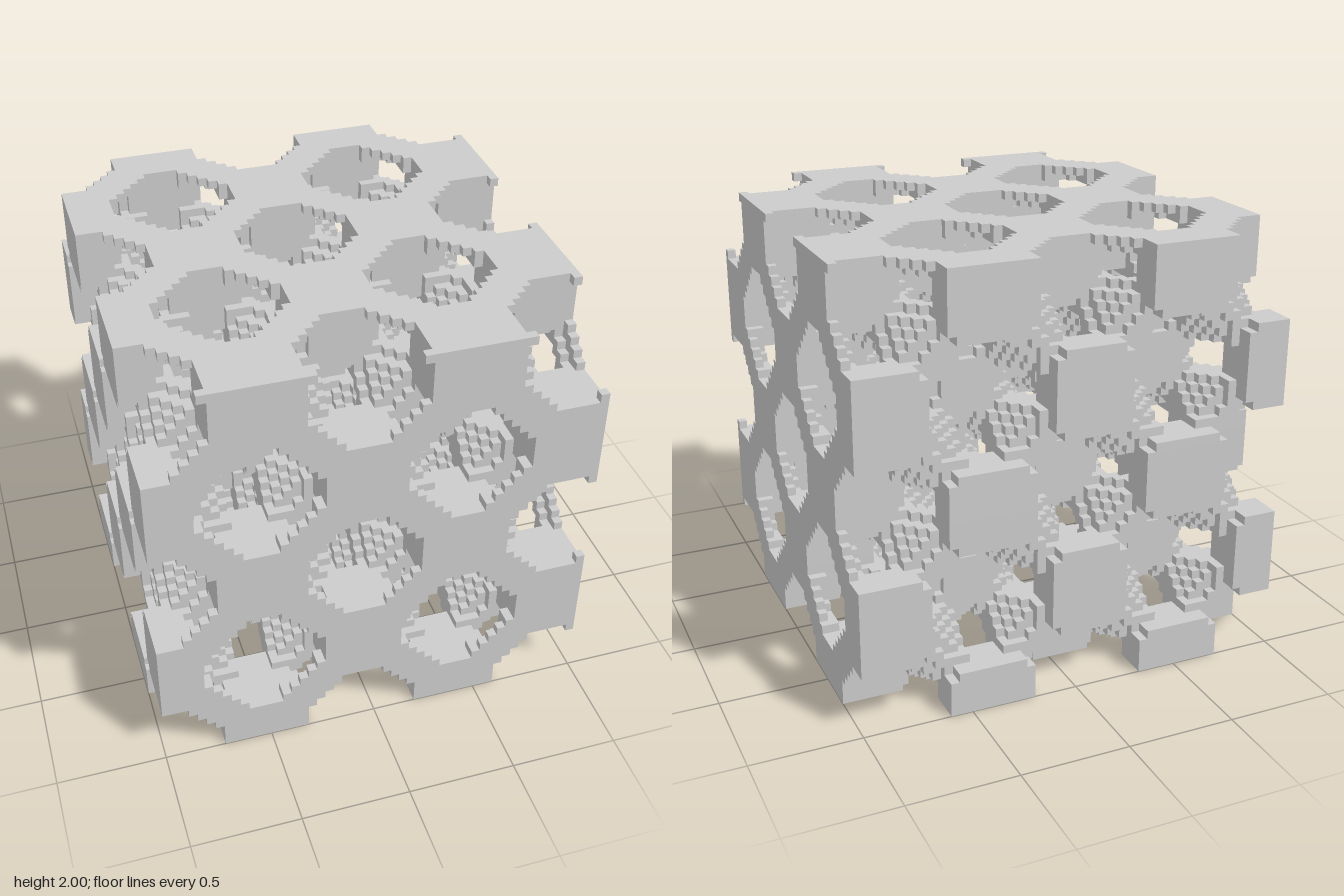
import * as THREE from 'three';

const N = 50;            // voxels per side
const SIZE = 2 / N;      // voxel edge
const PERIOD = 23;       // voxels per lattice cell

// F-RD triply periodic surface, solid where the field is negative
const c1 = [], c2 = [];
for (let i = 0; i < N; i++) {
  const a = (i * 2 * Math.PI) / PERIOD;
  c1.push(Math.cos(a));
  c2.push(Math.cos(2 * a));
}
function solid([x, y, z]) {
  if (Math.min(x, y, z) < 0 || Math.max(x, y, z) >= N) return false;
  return 4 * c1[x] * c1[y] * c1[z]
    - (c2[x] * c2[y] + c2[y] * c2[z] + c2[z] * c2[x]) < 0;
}

// Exposed voxel faces looking along one axis direction, merged into strips
function addFaces(axis, dir, positions, normals) {
  const u = (axis + 1) % 3, v = (axis + 2) % 3;
  const normal = [0, 0, 0];
  normal[axis] = dir;
  const order = dir > 0 ? [0, 1, 2, 0, 2, 3] : [0, 2, 1, 0, 3, 2];

  const exposed = (s, i, j) => {
    const p = [0, 0, 0];
    p[axis] = s; p[u] = i; p[v] = j;
    if (!solid(p)) return false;
    p[axis] += dir;
    return !solid(p);
  };
  const strip = (s, i0, i1, j) => {
    const level = dir > 0 ? s + 1 : s;
    const corners = [[i0, j], [i1, j], [i1, j + 1], [i0, j + 1]].map(([a, b]) => {
      const p = [0, 0, 0];
      p[axis] = level; p[u] = a; p[v] = b;
      return [p[0] * SIZE - 1, p[1] * SIZE, p[2] * SIZE - 1];
    });
    for (const k of order) {
      positions.push(...corners[k]);
      normals.push(...normal);
    }
  };

  for (let s = 0; s < N; s++) {
    for (let j = 0; j < N; j++) {
      let start = -1;
      for (let i = 0; i <= N; i++) {
        const on = i < N && exposed(s, i, j);
        if (on && start < 0) start = i;
        if (!on && start >= 0) {
          strip(s, start, i, j);
          start = -1;
        }
      }
    }
  }
}

export function createModel() {
  const positions = [], normals = [];
  for (let axis = 0; axis < 3; axis++) {
    for (const dir of [1, -1]) addFaces(axis, dir, positions, normals);
  }
  const geometry = new THREE.BufferGeometry();
  geometry.setAttribute('position', new THREE.Float32BufferAttribute(positions, 3));
  geometry.setAttribute('normal', new THREE.Float32BufferAttribute(normals, 3));

  const lattice = new THREE.Mesh(
    geometry,
    new THREE.MeshStandardMaterial({ color: 0xcccccc, flatShading: true })
  );
  lattice.name = 'voxelLattice';

  const group = new THREE.Group();
  group.name = 'latticeCube';
  group.add(lattice);
  return group;
}
